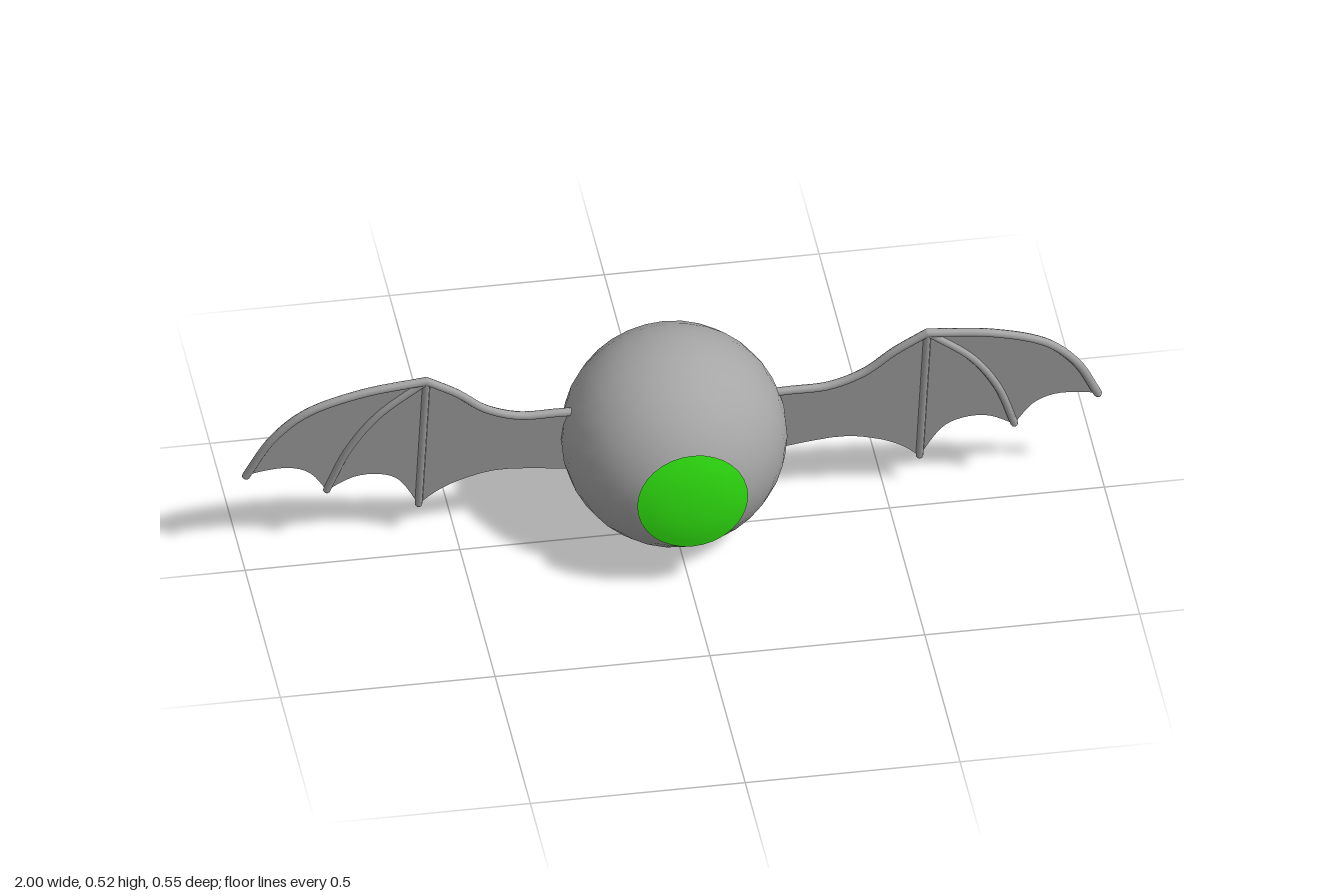
import * as THREE from 'three';

const V2 = (p) => new THREE.Vector2(p[0], p[1]);
const tiltZ = (y) => 0.03 + 0.26 * (y - 0.515); // wings lean back toward the bottom

// Wing lines in the wing plane, for the +x side
const ARM = [[0.2, 0.355], [0.27, 0.357], [0.36, 0.36], [0.44, 0.395], [0.51, 0.46], [0.583, 0.513]];
const LEADING = [[0.583, 0.513], [0.735, 0.49], [0.86, 0.44], [0.935, 0.36], [0.991, 0.242]];
const MIDDLE = [[0.583, 0.513], [0.69, 0.41], [0.755, 0.3], [0.8, 0.165]];
const INNER = [[0.583, 0.513], [0.583, 0.3], [0.583, 0.085]];
const SCALLOPS = [
  [[0.991, 0.24], [0.95, 0.25], [0.89, 0.252], [0.84, 0.225], [0.8, 0.16]],
  [[0.8, 0.16], [0.74, 0.198], [0.68, 0.2], [0.63, 0.17], [0.583, 0.08]],
  [[0.583, 0.08], [0.54, 0.122], [0.48, 0.155], [0.39, 0.175], [0.24, 0.155], [0.15, 0.14]],
];
const smooth = (pts, n = 16) => new THREE.SplineCurve(pts.map(V2)).getPoints(n);

export function createModel() {
  const model = new THREE.Group();
  model.name = 'wingedEyeball';
  const gray = new THREE.MeshStandardMaterial({ color: 0xa6a6a6 });
  gray.name = 'gray';
  const membraneGray = gray;
  membraneGray.side = THREE.DoubleSide;
  const green = new THREE.MeshStandardMaterial({ color: 0x2fe010, side: THREE.DoubleSide });
  green.name = 'green';

  const add = (parent, name, geometry, material) => {
    const mesh = new THREE.Mesh(geometry, material);
    mesh.name = name;
    parent.add(mesh);
    return mesh;
  };

  // Round body with a slightly flattened front behind the iris
  const R = 0.261;
  const profile = [];
  for (let i = 0; i <= 14; i++) {
    const a = (i / 16) * Math.PI;
    profile.push(new THREE.Vector2(R * Math.sin(a), -R * Math.cos(a)));
  }
  profile.push(V2([0.083, 0.243]), V2([0.052, 0.254]), V2([0, 0.256]));
  const body = add(model, 'body', new THREE.LatheGeometry(profile, 32), gray);
  body.rotation.x = Math.PI / 2;
  body.position.set(0, 0.262, -0.012);

  // Shallow domed iris floating just in front of the body
  const dome = [[0.129, 0.255], [0.107, 0.261], [0.081, 0.267], [0.053, 0.27], [0.026, 0.272], [0, 0.2725]];
  const iris = add(model, 'iris', new THREE.LatheGeometry(dome.map(V2), 32), green);
  iris.rotation.x = Math.PI / 2;
  iris.position.y = 0.264;

  // Rounded bone following a line of the wing plane
  const addBone = (wing, side, name, pts, radius) => {
    const path = new THREE.CatmullRomCurve3(
      pts.map(([x, y]) => new THREE.Vector3(side * x, y, tiltZ(y) + 0.002)));
    add(wing, name, new THREE.TubeGeometry(path, 28, radius, 8), gray);
    for (const t of [0, 1]) {
      const cap = add(wing, name + 'Cap', new THREE.SphereGeometry(radius, 8, 6), gray);
      cap.position.copy(path.getPoint(t));
    }
  };

  for (const side of [1, -1]) {
    const wing = new THREE.Group();
    wing.name = side > 0 ? 'leftWing' : 'rightWing';
    model.add(wing);

    // Thin scalloped membrane, leaned into the wing plane
    const outline = [ARM, LEADING, ...SCALLOPS].flatMap((line) => smooth(line).slice(0, -1));
    outline.push(V2([0.15, 0.14]), V2([0.15, 0.35]));
    const shape = new THREE.Shape(outline.map((p) => new THREE.Vector2(side * p.x, p.y)));
    const membrane = new THREE.ShapeGeometry(shape);
    const pos = membrane.attributes.position;
    for (let i = 0; i < pos.count; i++) pos.setZ(i, tiltZ(pos.getY(i)));
    membrane.computeVertexNormals();
    add(wing, 'membrane', membrane, membraneGray);

    addBone(wing, side, 'armBone', ARM, 0.01);
    addBone(wing, side, 'leadingFinger', LEADING, 0.01);
    addBone(wing, side, 'middleFinger', MIDDLE, 0.009);
    addBone(wing, side, 'innerFinger', INNER, 0.009);
  }
  return model;
}
